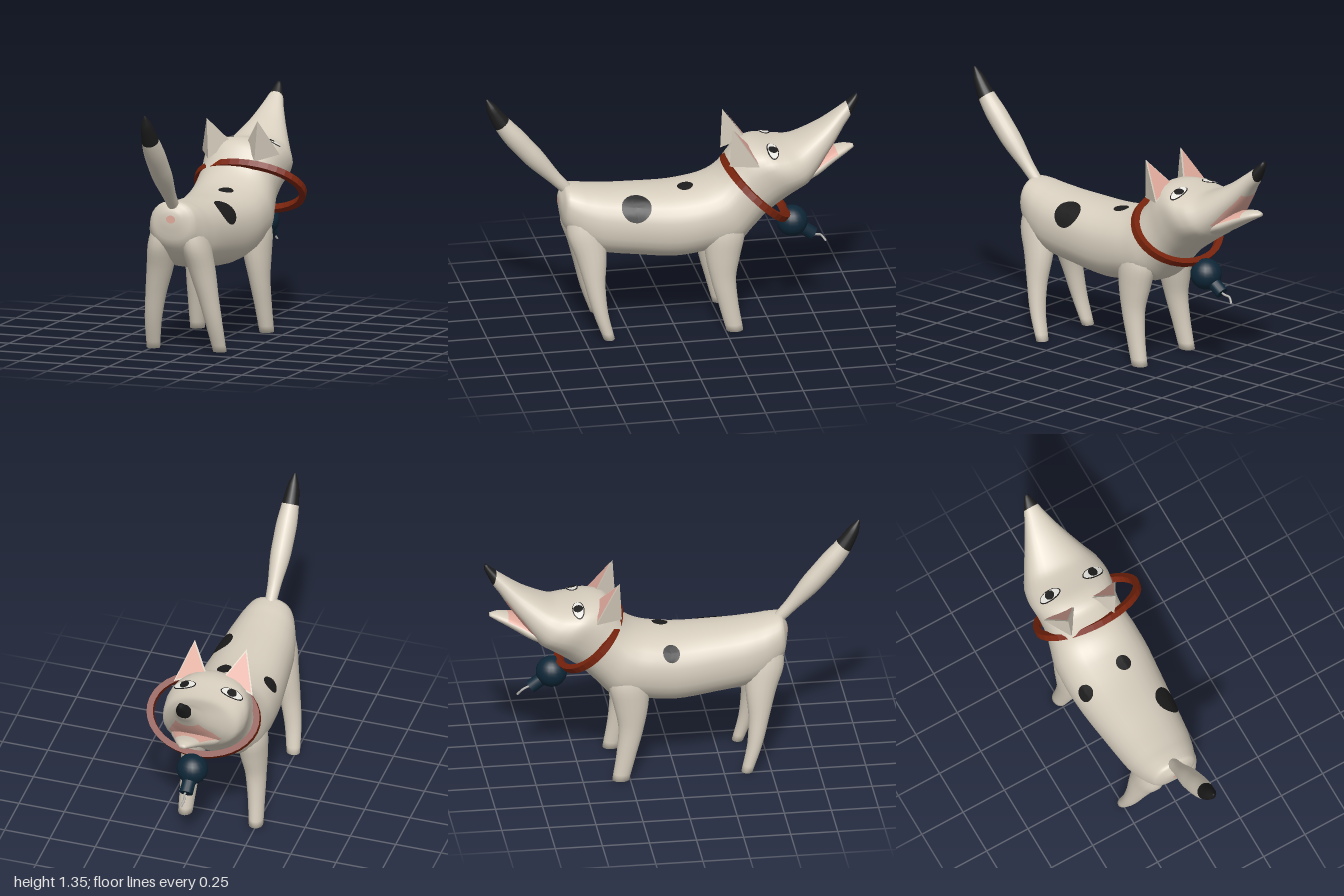
import * as THREE from 'three';

const mat = (name, color, side = THREE.FrontSide) => {
  const m = new THREE.MeshStandardMaterial({ color, side });
  m.name = name;
  return m;
};
const V = (x, y, z) => new THREE.Vector3(x, y, z);

// Smooth skin through control rings { c, u, v } (centre and two half axes).
// pick(t, angle) gives the material index of each face; t counts control rings.
function loft(rings, { sub = 4, seg = 28, power = 1, pick = () => 0 } = {}) {
  const curves = ['c', 'u', 'v'].map(k => new THREE.CatmullRomCurve3(rings.map(r => r[k])));
  const n = (rings.length - 1) * sub;
  const pos = [], faces = [];
  const soft = s => Math.sign(s) * Math.pow(Math.abs(s), power);
  for (let i = 0; i <= n; i++) {
    const [c, u, v] = curves.map(k => k.getPoint(i / n));
    for (let j = 0; j < seg; j++) {
      const a = (j / seg) * Math.PI * 2;
      const p = c.clone().addScaledVector(u, soft(Math.cos(a))).addScaledVector(v, soft(Math.sin(a)));
      pos.push(p.x, p.y, p.z);
    }
  }
  const put = (m, ...ids) => (faces[m] ??= []).push(...ids);
  for (let i = 0; i < n; i++) {
    for (let j = 0; j < seg; j++) {
      const k = (j + 1) % seg, a = i * seg + j, b = i * seg + k;
      put(pick((i + 0.5) / sub, ((j + 0.5) / seg) * Math.PI * 2), a, a + seg, b + seg, a, b + seg, b);
    }
  }
  // End caps
  [[0, curves[0].getPoint(0)], [n, curves[0].getPoint(1)]].forEach(([row, c]) => {
    const id = pos.length / 3;
    pos.push(c.x, c.y, c.z);
    for (let j = 0; j < seg; j++) {
      const a = row * seg + j, b = row * seg + (j + 1) % seg;
      const m = pick(row / sub, (j / seg) * Math.PI * 2);
      row ? put(m, a, id, b) : put(m, a, b, id);
    }
  });
  const g = new THREE.BufferGeometry();
  g.setAttribute('position', new THREE.Float32BufferAttribute(pos, 3));
  const index = [];
  faces.forEach((f, m) => {
    g.addGroup(index.length, f.length, m);
    for (const id of f) index.push(id);
  });
  g.setIndex(index);
  g.computeVertexNormals();
  return g;
}

// Ring given by its top and bottom points in the side profile and its half width
const profileRing = ([tz, ty, bz, by, w]) => ({
  c: V(0, (ty + by) / 2, (tz + bz) / 2), u: V(w, 0, 0), v: V(0, (ty - by) / 2, (tz - bz) / 2),
});

export function createModel() {
  const fur = mat('cream fur', 0xd6cdbd);
  const black = mat('black', 0x1c1c1c, THREE.DoubleSide);
  const pink = mat('pink', 0xe0aa9c, THREE.DoubleSide);
  const white = mat('eye white', 0xe8e6e0, THREE.DoubleSide);
  const pad = mat('paw pad', 0x936c62);
  const red = mat('collar red', 0x7a240c);
  const navy = mat('navy', 0x0e2738);
  const grey = mat('fuse grey', 0xb4b2ae);

  const model = new THREE.Group();
  const dog = new THREE.Group();
  dog.name = 'dog';
  dog.position.x = -0.05;
  model.add(dog);
  const add = (name, geo, material, parent = dog) => {
    const m = new THREE.Mesh(geo, material);
    m.name = name;
    parent.add(m);
    return m;
  };

  // Trunk, neck, head and upper muzzle with a black nose
  const trunk = [
    [0.607, 0.77, 0.607, 0.70, 0.04], [0.575, 0.825, 0.585, 0.60, 0.12], [0.5, 0.82, 0.5, 0.50, 0.16],
    [0.4, 0.805, 0.4, 0.45, 0.185], [0.2, 0.79, 0.2, 0.42, 0.21], [0, 0.785, 0, 0.40, 0.232],
    [-0.13, 0.80, -0.17, 0.42, 0.242], [-0.2, 0.825, -0.34, 0.45, 0.238], [-0.26, 0.87, -0.42, 0.53, 0.222],
    [-0.31, 0.94, -0.5, 0.61, 0.21], [-0.36, 0.995, -0.58, 0.67, 0.215], [-0.44, 1.01, -0.66, 0.725, 0.225],
    [-0.54, 0.995, -0.72, 0.765, 0.212], [-0.62, 0.99, -0.765, 0.82, 0.18], [-0.70, 1.02, -0.82, 0.90, 0.14],
    [-0.80, 1.075, -0.87, 0.97, 0.098], [-0.89, 1.14, -0.92, 1.05, 0.06], [-0.935, 1.175, -0.955, 1.10, 0.042],
    [-0.99, 1.222, -1.0, 1.19, 0.014],
  ].map(profileRing);
  const body = add('body', loft(trunk, {
    power: 0.88,
    pick: (t, a) => t > 16.9 ? 1 : (t > 13 && t < 15.6 && a > 3.9 && a < 5.5 ? 2 : 0),
  }), [fur, black, pink]);

  // Lower jaw with a pink mouth floor
  const jaw = [
    [-0.60, 0.84, -0.68, 0.75, 0.15], [-0.72, 0.875, -0.78, 0.80, 0.13], [-0.82, 0.912, -0.855, 0.845, 0.09],
    [-0.92, 0.935, -0.93, 0.888, 0.048], [-0.97, 0.932, -0.972, 0.912, 0.015],
  ].map(profileRing);
  add('lowerJaw', loft(jaw, { pick: (t, a) => t < 2.6 && a > 0.3 && a < 2.85 ? 1 : 0 }), [fur, pink]);

  // Legs, from paw to hip: [side offset, y, z, half width, half depth]
  const legs = {
    hind: [[0.187, 0.004, 0.372, 0.036, 0.03], [0.172, 0.15, 0.415, 0.045, 0.04], [0.148, 0.3, 0.44, 0.055, 0.055],
      [0.118, 0.45, 0.455, 0.07, 0.082], [0.095, 0.58, 0.48, 0.075, 0.1], [0.07, 0.72, 0.49, 0.06, 0.075]],
    front: [[0.195, 0.004, -0.30, 0.038, 0.045], [0.187, 0.15, -0.268, 0.045, 0.053], [0.176, 0.3, -0.242, 0.056, 0.068],
      [0.165, 0.42, -0.242, 0.072, 0.092], [0.155, 0.55, -0.25, 0.082, 0.11], [0.13, 0.68, -0.24, 0.07, 0.08]],
  };
  for (const [name, rows] of Object.entries(legs)) {
    for (const s of [-1, 1]) {
      const side = s > 0 ? 'Left' : 'Right';
      add(name + 'Leg' + side, loft(rows.map(([x, y, z, w, d]) =>
        ({ c: V(s * x, y, z), u: V(w, 0, 0), v: V(0, 0, d) })), { seg: 18 }), fur);
      const [x, , z, w, d] = rows[0];
      const sole = add(name + 'Pad' + side, new THREE.CircleGeometry(1, 18), pad);
      sole.rotation.x = Math.PI / 2;
      sole.scale.set(w, d, 1);
      sole.position.set(s * x, 0, z);
    }
  }

  // Tail: [y, z, radius], leaning back with a black tip
  const tail = [[0.79, 0.555, 0.03], [0.87, 0.63, 0.036], [1.0, 0.745, 0.055], [1.1, 0.83, 0.056],
    [1.2, 0.91, 0.046], [1.29, 0.965, 0.03], [1.345, 0.993, 0.006]]
    .map(([y, z, r]) => ({ c: V(0, y, z), u: V(r, 0, 0), v: V(0, -0.62 * r, 0.78 * r) }));
  add('tail', loft(tail, { seg: 18, pick: t => t > 3.9 ? 1 : 0 }), [fur, black]);

  // Ears: pointed pyramids with a pink inner face
  for (const s of [-1, 1]) {
    const side = s > 0 ? 'Left' : 'Right';
    const tip = V(s * 0.143, 1.125, -0.298), inner = V(s * 0.045, 0.99, -0.40);
    const outer = V(s * 0.218, 0.93, -0.43), back = V(s * 0.13, 0.91, -0.285);
    const tri = (...f) => {
      const g = new THREE.BufferGeometry().setFromPoints(f.flatMap(t => s > 0 ? t : [t[0], t[2], t[1]]));
      g.computeVertexNormals();
      return g;
    };
    add('ear' + side, tri([tip, outer, inner], [tip, back, outer], [tip, inner, back]), fur);
    const mid = tip.clone().add(inner).add(outer).divideScalar(3);
    const out = outer.clone().sub(tip).cross(inner.clone().sub(tip)).normalize().multiplyScalar(s * 0.004);
    const inset = p => p.clone().lerp(mid, 0.12).add(out);
    add('innerEar' + side, tri([inset(tip), inset(outer), inset(inner)]), pink);
  }

  // Painted patches: discs dropped onto the body along a direction
  body.updateMatrixWorld();
  const ray = new THREE.Raycaster();
  const patch = (name, material, at, normal, rx, ry, lift = 0.004) => {
    const g = new THREE.RingGeometry(0.001, 1, 24, 4);
    const n = normal.normalize();
    const q = new THREE.Quaternion().setFromRotationMatrix(
      new THREE.Matrix4().lookAt(n, V(0, 0, 0), Math.abs(n.y) > 0.6 ? V(0, 0, -1) : V(0, 1, 0)));
    const p = g.attributes.position;
    for (let i = 0; i < p.count; i++) {
      const o = V(p.getX(i) * rx, p.getY(i) * ry, 0).applyQuaternion(q).add(at);
      ray.set(o.clone().addScaledVector(n, 0.25), n.clone().negate());
      const hit = ray.intersectObject(body)[0];
      const e = (hit ? hit.point : o).clone().addScaledVector(n, lift);
      p.setXYZ(i, e.x, e.y, e.z);
    }
    g.computeVertexNormals();
    add(name, g, material);
  };
  patch('leftFlankSpot', black, V(0.155, 0.72, 0.22), V(0.68, 0.73, 0), 0.078, 0.08);
  patch('rightFlankSpot', black, V(-0.185, 0.715, -0.03), V(-0.7, 0.7, 0), 0.05, 0.045);
  patch('backSpot', black, V(0.055, 0.78, -0.06), V(0.1, 1, 0), 0.04, 0.042);
  patch('rumpSpot', pink, V(0, 0.735, 0.6), V(0, 0, 1), 0.026, 0.021);
  for (const s of [-1, 1]) {
    const side = s > 0 ? 'Left' : 'Right';
    const n = () => V(s * 0.3, 0.9, -0.25);
    patch('eyeRim' + side, black, V(s * 0.13, 0.98, -0.515), n(), 0.064, 0.032, 0.003);
    patch('eyeWhite' + side, white, V(s * 0.13, 0.98, -0.515), n(), 0.059, 0.027, 0.006);
    patch('pupil' + side, black, V(s * 0.128, 0.98, -0.515), n(), 0.026, 0.026, 0.009);
  }

  // Loose collar: tilted oval band
  const band = new THREE.Shape().absellipse(0, 0, 0.308, 0.228, 0, Math.PI * 2);
  band.holes.push(new THREE.Path().absellipse(0, 0, 0.274, 0.196, 0, Math.PI * 2));
  const ring = new THREE.ExtrudeGeometry(band, { depth: 0.036, bevelEnabled: false, curveSegments: 18 });
  ring.translate(0, 0, -0.018);
  const collar = add('collar', ring, red, model);
  collar.position.set(0, 0.752, -0.437);
  collar.rotation.x = 0.82;

  // Round charm with a neck and a curly fuse
  add('charmBall', new THREE.SphereGeometry(0.083, 20, 14), navy, model).position.set(0, 0.54, -0.635);
  const neck = add('charmNeck', new THREE.CylinderGeometry(0.036, 0.036, 0.07, 14), navy, model);
  neck.position.set(0, 0.477, -0.718);
  neck.quaternion.setFromUnitVectors(V(0, 1, 0), V(0, -0.6, -0.8));
  const fuse = new THREE.CatmullRomCurve3([
    V(0, 0.465, -0.735), V(0.005, 0.452, -0.765), V(-0.004, 0.443, -0.79), V(0.008, 0.412, -0.815)]);
  add('charmFuse', new THREE.TubeGeometry(fuse, 16, 0.006, 6), grey, model);

  return model;
}
